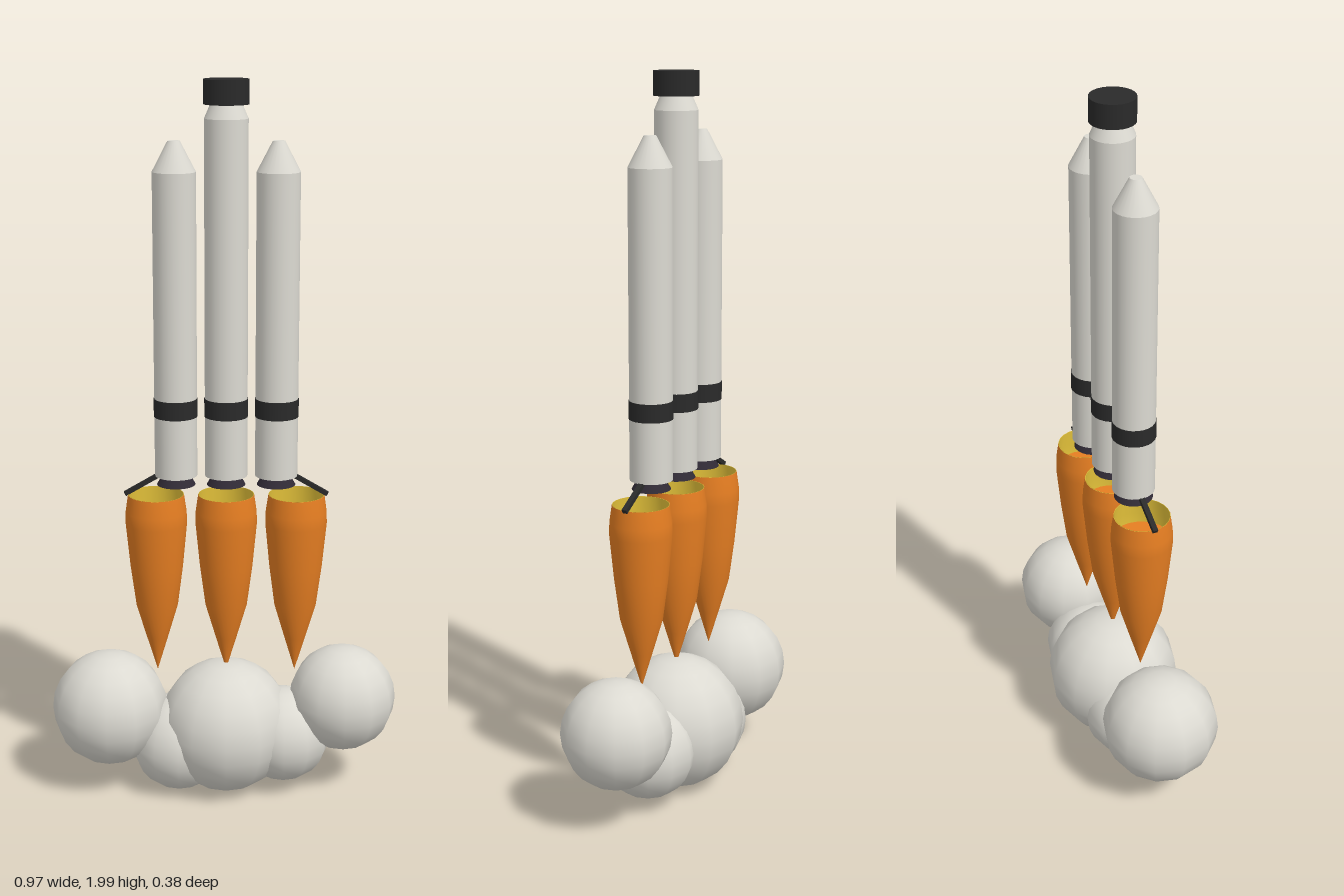
import * as THREE from 'three';

const mat = (name, color, side = THREE.FrontSide) => {
  const m = new THREE.MeshStandardMaterial({ color, side });
  m.name = name;
  return m;
};

export function createModel() {
  const white = mat('hull white', 0xdcdad2);
  const black = mat('black', 0x2a2a2a);
  const purple = mat('nozzle dark', 0x302a35);
  const orange = mat('flame orange', 0xe67e22);
  const yellow = mat('flame yellow', 0xf4d03f, THREE.DoubleSide);

  const model = new THREE.Group();
  model.name = 'rocket';
  const SIDES = 24;
  const CX = 0.003;

  const add = (parent, name, geometry, material, x = 0, y = 0, z = 0) => {
    const mesh = new THREE.Mesh(geometry, material);
    mesh.name = name;
    mesh.position.set(x, y, z);
    parent.add(mesh);
    return mesh;
  };
  // Round section between two heights
  const section = (parent, name, material, y0, y1, r0, r1 = r0) =>
    add(parent, name, new THREE.CylinderGeometry(r1, r0, y1 - y0, SIDES), material, 0, (y0 + y1) / 2);
  const lathe = (points) =>
    new THREE.LatheGeometry(points.map(([r, y]) => new THREE.Vector2(r, y)), SIDES);

  // Body, band and engine nozzle shared by the core and both boosters
  const stage = (name, x, top) => {
    const g = new THREE.Group();
    g.name = name;
    g.position.x = x;
    section(g, 'body', white, 0.938, top, 0.058);
    section(g, 'band', black, 1.105, 1.155, 0.0595);
    section(g, 'nozzle', purple, 0.912, 0.945, 0.053, 0.034);
    model.add(g);
    return g;
  };

  // Hollow-topped flame with a bright lining
  const flame = (name, x) => {
    const g = new THREE.Group();
    g.name = name;
    g.position.x = x;
    add(g, 'outerFlame', lathe([[0, 0.365], [0.03, 0.465], [0.058, 0.56], [0.073, 0.675], [0.085, 0.8], [0.084, 0.835], [0.077, 0.883]]), orange);
    add(g, 'flameLining', lathe([[0.083, 0.8], [0.082, 0.835], [0.075, 0.883], [0.077, 0.883]]), yellow);
    add(g, 'flameFloor', new THREE.CircleGeometry(0.083, SIDES).rotateX(-Math.PI / 2), orange, 0, 0.802);
    model.add(g);
  };

  // Core stage with shoulder and cap
  const core = stage('coreStage', CX, 1.9);
  section(core, 'shoulder', white, 1.9, 1.936, 0.058, 0.042);
  section(core, 'cap', black, 1.936, 2, 0.06);
  flame('coreFlame', CX);

  // Side boosters with nose cones, flames and struts
  for (const [side, s] of [['right', -1], ['left', 1]]) {
    const booster = stage(side + 'Booster', CX + s * 0.137, 1.763);
    section(booster, 'nose', white, 1.763, 1.843, 0.058, 0.016);
    flame(side + 'Flame', CX + s * 0.193);

    const inner = new THREE.Vector2(CX + s * 0.185, 0.938);
    const outer = new THREE.Vector2(CX + s * 0.278, 0.884);
    const strut = add(model, side + 'Strut', new THREE.BoxGeometry(inner.distanceTo(outer), 0.012, 0.014), black,
      (inner.x + outer.x) / 2, (inner.y + outer.y) / 2);
    strut.rotation.z = Math.atan((outer.y - inner.y) / (outer.x - inner.x));
  }

  // Smoke puffs: x, y, radius
  const puffs = [
    [CX, 0.197, 0.19],
    [-0.13, 0.145, 0.138],
    [0.165, 0.169, 0.135],
    [-0.327, 0.25, 0.163],
    [0.333, 0.281, 0.15],
  ];
  puffs.forEach(([x, y, r], i) =>
    add(model, 'smokePuff' + (i + 1), new THREE.SphereGeometry(r, 12, 12), white, x, y));

  return model;
}
